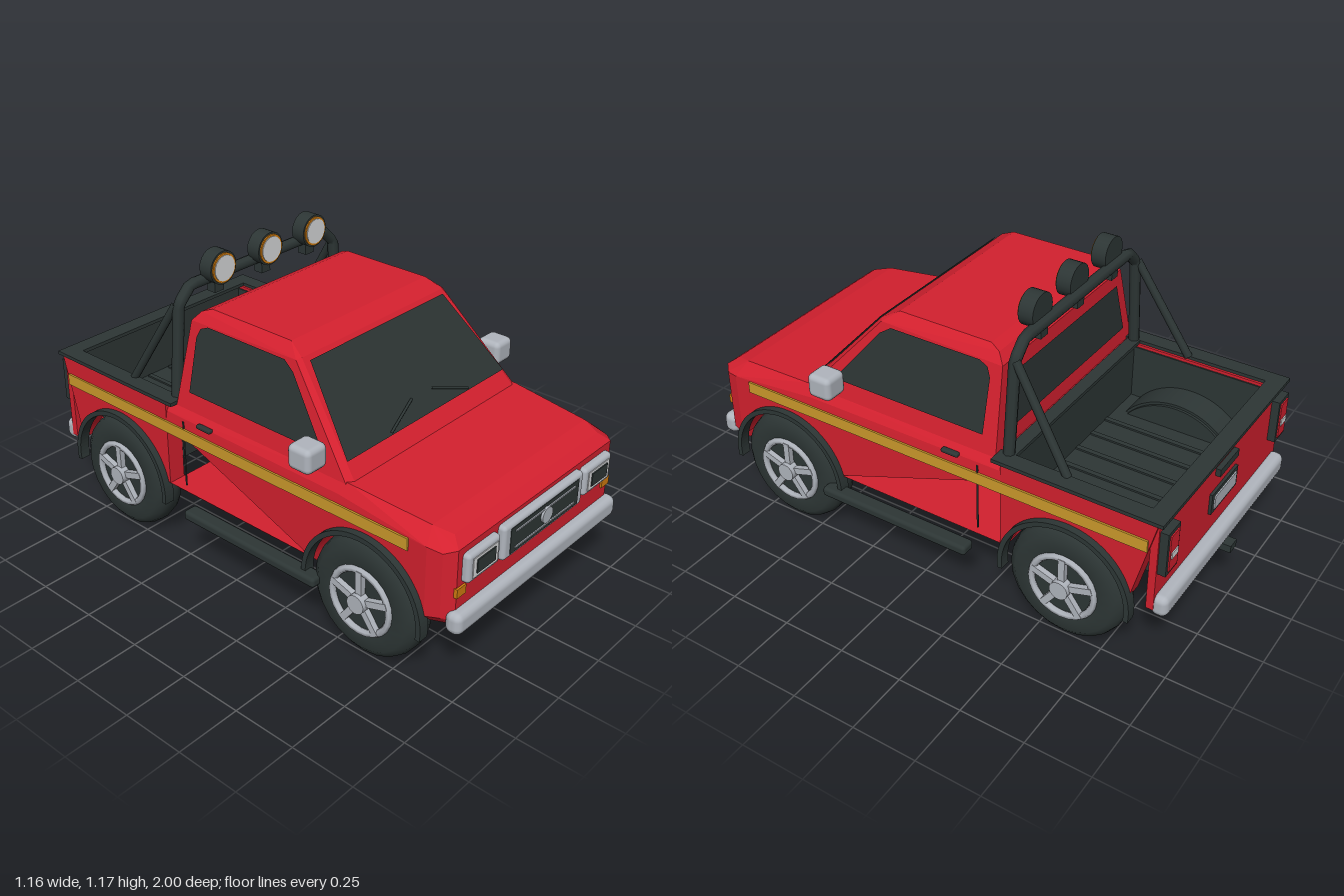
import * as THREE from 'three';
import { ConvexGeometry } from 'three/addons/geometries/ConvexGeometry.js';
import { RoundedBoxGeometry } from 'three/addons/geometries/RoundedBoxGeometry.js';

const mat = (name, color) => Object.assign(new THREE.MeshStandardMaterial({ color }), { name });
const V = (x, y, z) => new THREE.Vector3(x, y, z);

export function createModel() {
  const red = mat('red paint', 0xd3202e), dark = mat('dark trim', 0x2d3635);
  const glass = mat('dark glass', 0x2b3332), chrome = mat('chrome', 0xb0b5bd);
  const lens = mat('lamp lens', 0xd9dadc), amber = mat('amber', 0xd27d10);
  const gold = mat('gold stripe', 0xcc9a2b);
  glass.side = THREE.DoubleSide;

  const truck = new THREE.Group();
  truck.name = 'pickupTruck';
  const add = (name, geo, m, parent = truck) => {
    const mesh = new THREE.Mesh(geo, m);
    mesh.name = name;
    parent.add(mesh);
    return mesh;
  };
  // Boxes are given by centre and size
  const box = (name, m, x, y, z, w, h, d, parent) =>
    add(name, new THREE.BoxGeometry(w, h, d).translate(x, y, z), m, parent);
  const soft = (name, m, x, y, z, w, h, d, r) =>
    add(name, new RoundedBoxGeometry(w, h, d, 2, r).translate(x, y, z), m);
  // Convex block from right-hand points mirrored across x
  const block = (name, m, pts) =>
    add(name, new ConvexGeometry(pts.flatMap(([x, y, z]) => [V(x, y, z), V(-x, y, z)])), m);
  // Side profile in (z, y), extruded between two x positions
  const sideways = (name, m, shape, x0, x1) =>
    add(name, new THREE.ExtrudeGeometry(shape, { depth: x1 - x0, bevelEnabled: false, curveSegments: 24 })
      .rotateY(-Math.PI / 2).translate(x1, 0, 0), m);
  // Flat polygon from corners in space
  const pane = (name, m, pts) => {
    const geo = new THREE.BufferGeometry().setFromPoints(pts);
    geo.setIndex(pts.slice(2).flatMap((p, i) => [0, i + 1, i + 2]));
    geo.computeVertexNormals();
    return add(name, geo, m);
  };
  // Straight-jointed round bar through points
  const bar = (name, m, pts, r) => {
    const path = new THREE.CurvePath();
    pts.slice(1).forEach((p, i) => path.add(new THREE.LineCurve3(pts[i], p)));
    return add(name, new THREE.TubeGeometry(path, (pts.length - 1) * 12, r, 8), m);
  };

  const axleY = 0.235, archR = 0.25, frontZ = 0.62, rearZ = -0.6;
  const archedPanel = (back, front, top, cz) => {
    const a = Math.asin((0.29 - axleY) / archR);
    const s = new THREE.Shape();
    s.moveTo(back, 0.29);
    s.absarc(cz, axleY, archR, Math.PI - a, a, true);
    s.lineTo(front, 0.29);
    s.lineTo(front, top);
    s.lineTo(back, top);
    return s;
  };

  // Lower body, sills, nose and hood
  sideways('lowerBody', red, archedPanel(-0.335, 0.872, 0.56, frontZ), -0.505, 0.505);
  block('sill', red, [[0.505, 0.29, -0.335], [0.505, 0.29, 0.376], [0.465, 0.25, -0.335], [0.465, 0.25, 0.371]]);
  block('nose', red, [[0.505, 0.56, 0.872], [0.505, 0.29, 0.872], [0.47, 0.255, 0.872],
    [0.49, 0.55, 0.925], [0.49, 0.3, 0.925], [0.455, 0.56, 0.96], [0.455, 0.29, 0.96], [0.445, 0.26, 0.945]]);
  block('hood', red, [[0.505, 0.56, -0.335], [0.5, 0.6, -0.335], [0.475, 0.635, -0.335], [0.475, 0.635, 0.53],
    [0.5, 0.595, 0.5], [0.45, 0.607, 0.85], [0.505, 0.56, 0.872], [0.49, 0.555, 0.925],
    [0.455, 0.56, 0.96], [0.425, 0.59, 0.92]]);

  // Cab with chamfered roof
  const cabX = y => 0.48 - (y - 0.63) * 0.235;
  const cabFront = y => 0.535 - (y - 0.63) * 0.89;
  const cabBack = y => -0.302 + (y - 0.63) * 0.07;
  block('cab', red, [[0.48, 0.63, 0.515], [0.455, 0.63, 0.535], [0.48, 0.63, -0.3],
    [cabX(0.96), 0.96, 0.225], [0.385, 0.965, cabFront(0.965)], [cabX(0.95), 0.95, cabBack(0.95)],
    [0.365, 1.0, 0.17], [0.365, 1.0, -0.21], [0.38, 0.985, -0.25]]);

  // Windows and wipers
  const wind = (x, y, o = 0.005) => V(x, y + o, cabFront(y) + o);
  pane('windshield', glass, [wind(-0.445, 0.685), wind(0.445, 0.685), wind(0.365, 0.95), wind(-0.365, 0.95)]);
  pane('rearWindow', glass, [[0.41, 0.7], [-0.41, 0.7], [-0.365, 0.9], [0.365, 0.9]]
    .map(([x, y]) => V(x, y, cabBack(y) - 0.005)));
  for (const s of [-1, 1]) {
    pane('sideWindow', glass, [[0.405, 0.697], [-0.24, 0.697], [-0.24, 0.9], [-0.225, 0.935], [-0.19, 0.95],
      [0.18, 0.95], [0.225, 0.92]].map(([z, y]) => V(s * (cabX(y) + 0.005), y, z)));
    bar('wiper', dark, [wind(s * 0.22, 0.69, 0.012), wind(s * 0.055, 0.74, 0.012)], 0.005);
  }

  // Cargo bed
  for (const s of [-1, 1]) {
    const [x0, x1] = s > 0 ? [0.435, 0.505] : [-0.505, -0.435];
    sideways('bedSide', red, archedPanel(-0.93, -0.335, 0.632, rearZ), x0, x1);
    box('bedInnerWall', dark, s * 0.432, 0.505, -0.62, 0.006, 0.23, 0.57);
    box('bedRail', dark, s * 0.478, 0.638, -0.625, 0.066, 0.014, 0.65);

    // Wheel housing: arched shell with an inner wall
    const shell = new THREE.Shape();
    shell.absarc(rearZ, axleY, 0.27, 0.6, Math.PI - 0.6, false);
    shell.absarc(rearZ, axleY, 0.25, Math.PI - 0.6, 0.6, true);
    sideways('wheelHousing', dark, shell, Math.min(s * 0.31, s * 0.436), Math.max(s * 0.31, s * 0.436));
    const wall = new THREE.Shape();
    wall.absarc(rearZ, axleY, 0.26, 0.6, Math.PI - 0.6, false);
    sideways('wheelHousingWall', dark, wall, s * 0.305 - 0.006, s * 0.305 + 0.006);
  }
  box('bedFloor', dark, 0, 0.385, -0.618, 0.87, 0.03, 0.566);
  box('bedFrontWall', dark, 0, 0.505, -0.34, 0.87, 0.26, 0.012);
  box('bedFrontRail', dark, 0, 0.638, -0.335, 0.9, 0.014, 0.05);
  for (let i = -2; i <= 2; i++) box('floorRib', dark, i * 0.11, 0.403, -0.618, 0.02, 0.008, 0.54);
  box('tailgate', red, 0, 0.45, -0.917, 0.99, 0.362, 0.028);
  box('tailgateInner', dark, 0, 0.505, -0.9, 0.87, 0.25, 0.008);
  box('tailgateRail', dark, 0, 0.638, -0.915, 1.02, 0.014, 0.07);
  box('tailgateHandle', dark, 0, 0.575, -0.94, 0.15, 0.03, 0.02);
  box('plateFrame', dark, 0, 0.455, -0.936, 0.21, 0.085, 0.012);
  box('plate', chrome, 0, 0.455, -0.944, 0.175, 0.055, 0.006);

  // Bumpers and tow hitch
  soft('frontBumper', chrome, 0, 0.288, 0.965, 0.97, 0.086, 0.066, 0.028);
  soft('rearBumper', chrome, 0, 0.285, -0.945, 0.99, 0.086, 0.066, 0.028);
  box('hitchArm', dark, 0, 0.225, -0.95, 0.05, 0.03, 0.1);
  box('hitchMount', dark, 0, 0.245, -0.92, 0.04, 0.05, 0.03);

  // Grille
  soft('grilleFrame', chrome, 0, 0.478, 0.968, 0.48, 0.135, 0.04, 0.016);
  box('grille', dark, 0, 0.478, 0.987, 0.41, 0.1, 0.006);
  for (const y of [0.445, 0.51]) box('grilleBar', chrome, 0, y, 0.991, 0.36, 0.006, 0.006);
  add('grilleDisc', new THREE.CylinderGeometry(0.031, 0.031, 0.014, 12).rotateX(Math.PI / 2)
    .translate(0, 0.485, 0.992), chrome);

  for (const s of [-1, 1]) {
    // Front and rear lamps
    soft('headlightFrame', chrome, s * 0.342, 0.48, 0.965, 0.178, 0.112, 0.042, 0.016);
    box('headlightLens', lens, s * 0.342, 0.48, 0.986, 0.135, 0.075, 0.006);
    box('headlightCentre', dark, s * 0.342, 0.482, 0.99, 0.1, 0.052, 0.006);
    box('indicator', amber, s * 0.437, 0.398, 0.945, 0.048, 0.035, 0.045);
    box('tailLampFrame', dark, s * 0.445, 0.51, -0.945, 0.085, 0.175, 0.032);
    box('tailLamp', red, s * 0.445, 0.51, -0.963, 0.06, 0.145, 0.006);
    box('reverseLamp', lens, s * 0.445, 0.5, -0.967, 0.045, 0.025, 0.006);

    // Side trim, steps and mirrors
    box('sideStripe', gold, s * 0.508, 0.538, -0.05, 0.008, 0.046, 1.7);
    box('doorSeam', dark, s * 0.506, 0.455, -0.242, 0.004, 0.27, 0.006);
    soft('doorHandle', dark, s * 0.506, 0.603, -0.13, 0.022, 0.016, 0.07, 0.006);
    soft('sideStep', dark, s * 0.525, 0.223, 0.11, 0.062, 0.04, 0.65, 0.014);
    box('mirrorArm', dark, s * 0.48, 0.668, 0.39, 0.07, 0.02, 0.03);
    soft('mirror', chrome, s * 0.53, 0.714, 0.39, 0.1, 0.094, 0.1, 0.022);
    bar('rollBarBrace', dark, [V(s * 0.42, 1.0, -0.34), V(s * 0.45, 0.64, -0.565)], 0.016);
  }

  // Roll bar and its lamps
  bar('rollBar', dark, [V(-0.45, 0.6, -0.333), V(-0.415, 0.995, -0.333), V(-0.355, 1.055, -0.333),
    V(0.355, 1.055, -0.333), V(0.415, 0.995, -0.333), V(0.45, 0.6, -0.333)], 0.022);
  for (const x of [-0.243, 0, 0.243]) {
    const disc = (name, m, r, z, d) => add(name, new THREE.CylinderGeometry(r, r, d, 20)
      .rotateX(Math.PI / 2).translate(x, 1.102, z), m);
    disc('roofLampHousing', dark, 0.064, -0.303, 0.058);
    disc('roofLampRing', amber, 0.057, -0.272, 0.006);
    disc('roofLampLens', lens, 0.049, -0.269, 0.006);
    box('roofLampBracket', dark, x, 1.03, -0.32, 0.045, 0.055, 0.04);
  }

  // Wheels and flares, built facing +x and turned for the other side
  const tyreProfile = [[0.12, -0.05], [0.135, -0.0625], [0.195, -0.0625], [0.222, -0.042], [0.231, -0.015],
    [0.231, 0.015], [0.222, 0.042], [0.195, 0.0625], [0.135, 0.0625], [0.12, 0.05]]
    .map(([r, h]) => new THREE.Vector2(r, h));
  const tyreGeo = new THREE.LatheGeometry(tyreProfile, 24).rotateZ(-Math.PI / 2);
  const discGeo = (r, x, d) => new THREE.CylinderGeometry(r, r, d, 20).rotateZ(-Math.PI / 2).translate(x, 0, 0);
  for (const s of [-1, 1]) for (const z of [frontZ, rearZ]) {
    const wheel = new THREE.Group();
    wheel.name = 'wheel';
    wheel.position.set(s * 0.458, axleY - 0.004, z);
    if (s < 0) wheel.rotation.y = Math.PI;
    add('tyre', tyreGeo, dark, wheel);
    add('rimBack', discGeo(0.125, 0.045, 0.02), dark, wheel);
    add('rimInner', discGeo(0.125, -0.045, 0.02), chrome, wheel);
    add('rimRing', new THREE.TorusGeometry(0.124, 0.013, 6, 24).rotateY(Math.PI / 2).translate(0.064, 0, 0), chrome, wheel);
    add('hub', discGeo(0.036, 0.073, 0.04), chrome, wheel);
    for (let i = 0; i < 5; i++) {
      const spoke = box('spoke', chrome, 0, 0.075, 0, 0.022, 0.1, 0.026, wheel);
      spoke.position.x = 0.066;
      spoke.rotation.x = i * Math.PI * 0.4;
    }
    truck.add(wheel);

    const flare = new THREE.Shape();
    flare.absarc(z, axleY, 0.261, -0.13, Math.PI + 0.13, false);
    flare.absarc(z, axleY, 0.242, Math.PI + 0.13, -0.13, true);
    sideways('wheelFlare', dark, flare, s > 0 ? 0.49 : -0.532, s > 0 ? 0.532 : -0.49);
  }
  return truck;
}
